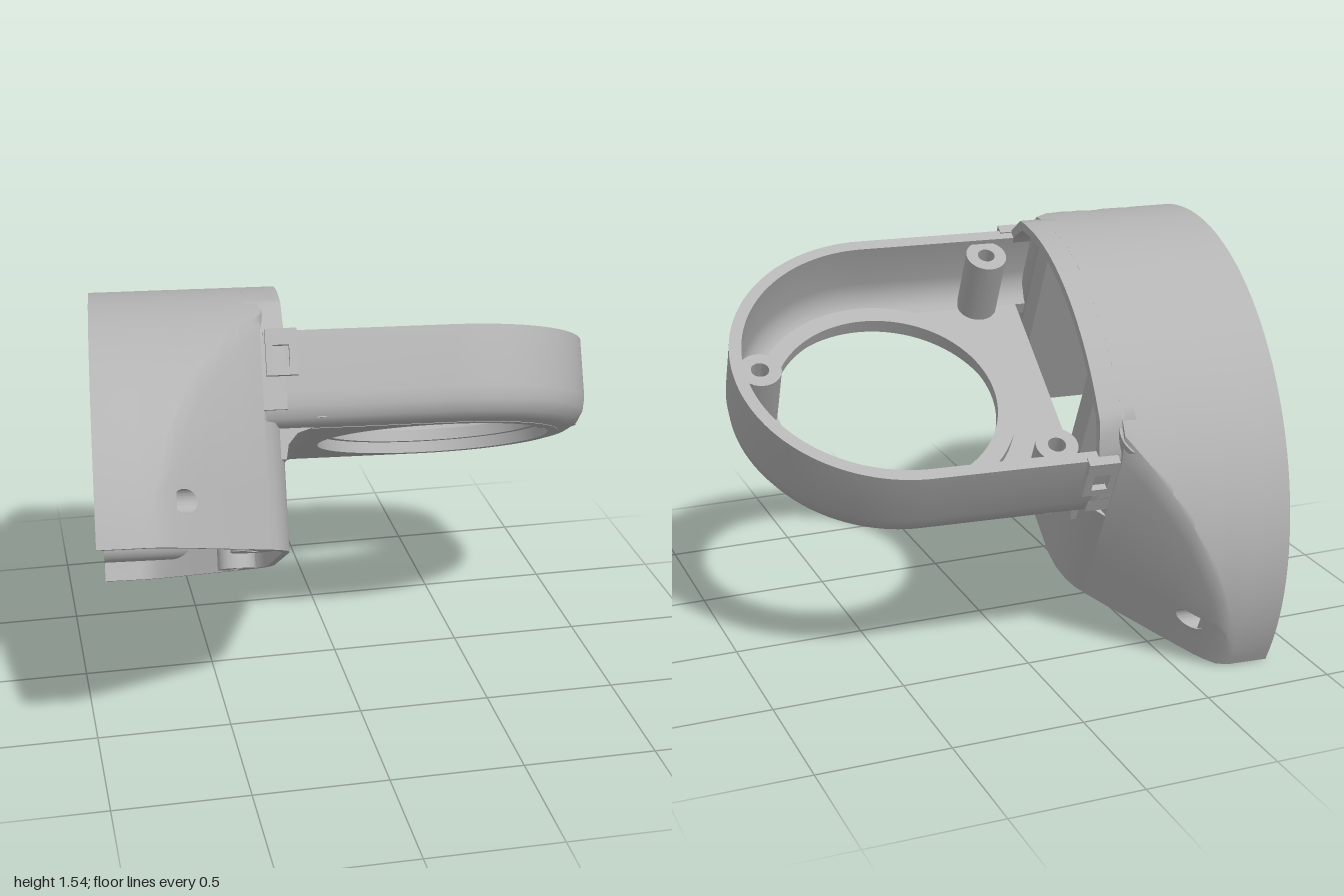
import * as THREE from 'three';
import { toCreasedNormals } from 'three/addons/utils/BufferGeometryUtils.js';

const R = 1.018, CY = 0.03, T = 0.032; // dome radius, centre height, wall thickness
const domeY = (z, r = R) => CY + Math.sqrt(Math.max(0, r * r - z * z));

// Skins a list of equal closed sections; skip(row, column) leaves openings
function loft(sections, skip = () => false) {
  const pos = [], n = sections[0].length, last = sections.length - 1;
  const quad = (a, b, c, d) => pos.push(...a, ...b, ...c, ...a, ...c, ...d);
  for (let i = 0; i < last; i++) {
    for (let j = 0; j < n; j++) {
      if (skip(i, j)) continue;
      const k = (j + 1) % n;
      quad(sections[i][j], sections[i][k], sections[i + 1][k], sections[i + 1][j]);
    }
  }
  // End rims join the outer half of the section to the inner half
  for (let j = 0; j < n / 2 - 1; j++) {
    const a = sections[0], b = sections[last];
    quad(a[j], a[n - 1 - j], a[n - 2 - j], a[j + 1]);
    quad(b[j], b[j + 1], b[n - 2 - j], b[n - 1 - j]);
  }
  const g = new THREE.BufferGeometry();
  g.setAttribute('position', new THREE.Float32BufferAttribute(pos, 3));
  return toCreasedNormals(g, 0.75);
}

const shapeOf = (pts) => new THREE.Shape(pts.map(([a, b]) => new THREE.Vector2(a, b)));
function extrude(shape, depth) {
  const g = new THREE.ExtrudeGeometry(shape, { depth, bevelEnabled: false, curveSegments: 48 });
  return toCreasedNormals(g, 0.6);
}
const alongX = (shape, x0, x1) => extrude(shape, x1 - x0).rotateY(Math.PI / 2).translate(x0, 0, 0);
const alongY = (shape, y0, y1) => extrude(shape, y1 - y0).rotateX(-Math.PI / 2).translate(0, y0, 0);

function ringShape(outer, inner) {
  const s = new THREE.Shape().absarc(0, 0, outer, 0, Math.PI * 2);
  s.holes.push(new THREE.Path().absarc(0, 0, inner, 0, Math.PI * 2, true));
  return s;
}
function rectShape(x0, y0, x1, y1, hole) {
  const s = shapeOf([[x0, y0], [x1, y0], [x1, y1], [x0, y1]]);
  if (hole) {
    const [a, b, c, d] = hole;
    s.holes.push(new THREE.Path([[a, b], [a, d], [c, d], [c, b]].map((p) => new THREE.Vector2(...p))));
  }
  return s;
}
function moveVertices(g, rule) {
  const p = g.attributes.position, v = new THREE.Vector3();
  for (let i = 0; i < p.count; i++) {
    rule(v.fromBufferAttribute(p, i));
    p.setXYZ(i, v.x, v.y, v.z);
  }
  return toCreasedNormals(g, 0.6);
}

// One side-to-side line of the domed body: upright walls, then the arc
function bodyLine(x, w, inset) {
  const r = R - inset, h = w - inset, top = domeY(h, r), pts = [];
  const levels = [0, 0.11, 0.21, Math.max(0.21, top - 0.07)].map((y) => Math.min(y, top));
  levels.forEach((y) => pts.push([x, y, h]));
  const a0 = Math.asin(Math.min(1, h / r)) - 0.04, n = 56;
  for (let i = 0; i <= n; i++) {
    const a = a0 * (1 - (2 * i) / n);
    pts.push([x, CY + r * Math.cos(a), r * Math.sin(a)]);
  }
  levels.reverse().forEach((y) => pts.push([x, y, -h]));
  return pts;
}

export function createModel() {
  const grey = new THREE.MeshStandardMaterial({ color: 0xb4b4b4, side: THREE.DoubleSide });
  grey.name = 'plain grey';
  const model = new THREE.Group();
  model.name = 'ductShroud';
  const part = (name, geometry, x = 0, y = 0, z = 0) => {
    const m = new THREE.Mesh(geometry, grey);
    m.name = name;
    m.position.set(x, y, z);
    model.add(m);
    return m;
  };

  // Domed half shell with tapering sides and two square nut openings
  const rows = [[0, R], [0.15, R], [0.2, 1.008], [0.24, 0.98], [0.275, 0.95], [0.375, 0.85],
    [0.45, 0.772], [0.53, 0.69], [0.61, 0.605]];
  const sections = rows.map(([x, w]) => [...bodyLine(x, w, 0), ...bodyLine(x, w, T).reverse()]);
  const half = sections[0].length / 2;
  part('domeShell', loft(sections, (i, j) =>
    i === 4 && [1, half - 3, half + 1, half * 2 - 3].includes(j)));

  // Rounded end wall below the arm
  const plan = [[0.6, 0.615], [0.635, 0.575], [0.66, 0.53], [0.68, 0.47], [0.69, 0.4]];
  const mirror = (pts) => [...pts, ...pts.map(([x, z]) => [x, -z]).reverse()];
  const inner = plan.map(([x, z]) => [x - T * 0.8, z - T * 0.6]);
  part('endWall', alongY(shapeOf([...mirror(plan), ...mirror(inner).reverse()]), 0, 0.46));

  // Arched duct mouth joining the dome to the arm
  const arch = (w, r) => {
    const side = [[w, 0.5], [w, 0.74], [w - 0.015, 0.8], [w - 0.04, 0.84]], pts = [];
    for (let i = 0; i <= 12; i++) {
      const z = (w - 0.075) * (1 - i / 12);
      pts.push([z, domeY(z, r)]);
    }
    const right = [...side, ...pts];
    return [...right, ...right.slice(0, -1).reverse().map(([z, y]) => [-z, y])];
  };
  part('ductMouth', alongX(shapeOf([...arch(0.6, R), ...arch(0.56, R - T).reverse()]), 0.56, 0.695));

  // Fillet under the arm
  part('armFillet', extrude(shapeOf([[0.67, 0.33], [0.69, 0.33], [0.7, 0.385], [0.735, 0.425],
    [0.8, 0.445], [0.67, 0.445]]), 1).translate(0, 0, -0.5));

  // U-shaped arm wall with a rounded lower edge
  const CX = 1.305, W = 0.6;
  const wall = [[0.12, 0.44], [0.075, 0.448], [0.035, 0.47], [0.01, 0.51], [0, 0.56], [0, 0.785],
    [0.045, 0.785], [0.045, 0.6], [0.055, 0.55], [0.08, 0.515], [0.1, 0.5], [0.12, 0.49]];
  const path = [];
  for (let i = 0; i <= 64; i++) path.push([CX, Math.PI / 2 - (Math.PI * i) / 64]);
  path.unshift([0.62, Math.PI / 2]);
  path.push([0.62, -Math.PI / 2]);
  part('armWall', loft(path.map(([x, a]) => wall.map(([o, y]) =>
    [x + (W - o) * Math.cos(a), y, (W - o) * Math.sin(a)]))));

  // Arm floor with a round opening and a raised lip
  const floor = new THREE.Shape().moveTo(0.66, -0.49).lineTo(CX, -0.49)
    .absarc(CX, 0, 0.49, -Math.PI / 2, Math.PI / 2).lineTo(0.66, 0.49);
  floor.holes.push(new THREE.Path().absarc(CX, 0, 0.45, 0, Math.PI * 2, true));
  part('armFloor', alongY(floor, 0.44, 0.49));
  part('openingLip', alongY(ringShape(0.49, 0.42), 0.485, 0.53), CX);

  // Screw posts inside the arm
  for (const [x, z] of [[0.82, 0.49], [0.82, -0.49], [1.8, 0]]) {
    part('armScrewPost', alongY(ringShape(0.078, 0.033), 0.47, 0.765), x, 0, z);
  }

  for (const s of [1, -1]) {
    // Slotted inner fin
    part('fin', alongY(rectShape(0, -0.05, 0.66, 0.05, [0.23, -0.018, 0.61, 0.018]), 0.137, 0.93),
      0, 0, s * 0.325);

    // Side nut boss, cut off along the sloping side
    part('sideBoss', moveVertices(alongX(ringShape(0.085, 0.042), 0, 1), (v) => {
      v.y += 0.16;
      v.z += s * 0.9;
      if (v.x > 0.5) v.x = 1.205 - Math.abs(v.z);
    }));

    // Upright bolt boss reaching the dome
    part('uprightBoss', moveVertices(alongY(ringShape(0.078, 0.025), 0, 1), (v) => {
      v.x += 0.545;
      v.z += s * 0.545;
      if (v.y > 0.5) v.y = domeY(v.z) - 0.015;
    }));

    // Latch frame on the arm root
    part('latchFrame', extrude(rectShape(0.625, 0.62, 0.74, 0.79, [0.65, 0.65, 0.71, 0.73]), 0.04),
      0, 0, s * 0.605 - 0.02);
  }

  // Boss under the crown of the dome
  part('crownBoss', alongX(ringShape(0.08, 0.033), 0, 0.45), 0, 0.935, -0.02);

  // Tilt back, turn slightly, and set in place
  model.rotation.set(-0.509, -0.084, 0, 'YXZ');
  model.position.set(-0.925, 0.495, 0.085);
  const root = new THREE.Group();
  root.name = 'model';
  root.add(model);
  return root;
}
